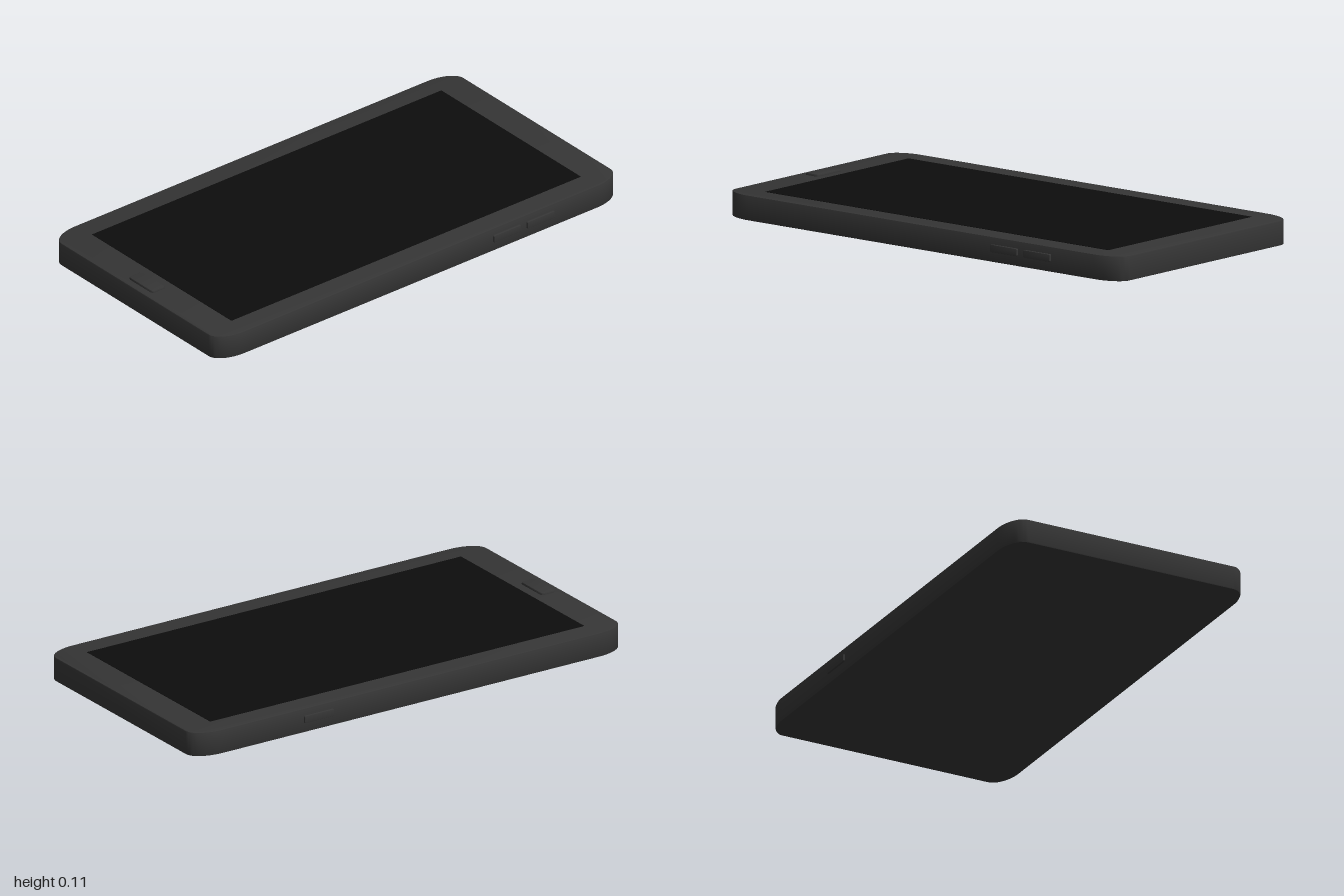
import * as THREE from 'three';
import { toCreasedNormals } from 'three/addons/utils/BufferGeometryUtils.js';

// Upright slab with elliptical corners (rx, rz) and a small bevelled rim
function slab(hx, hz, rx, rz, height, bevel) {
  const s = new THREE.Shape();
  s.moveTo(-hx + rx, -hz);
  s.lineTo(hx - rx, -hz);
  s.absellipse(hx - rx, -hz + rz, rx, rz, -Math.PI / 2, 0, false, 0);
  s.absellipse(hx - rx, hz - rz, rx, rz, 0, Math.PI / 2, false, 0);
  s.absellipse(-hx + rx, hz - rz, rx, rz, Math.PI / 2, Math.PI, false, 0);
  s.absellipse(-hx + rx, -hz + rz, rx, rz, Math.PI, Math.PI * 1.5, false, 0);
  const geo = new THREE.ExtrudeGeometry(s, {
    depth: height - 2 * bevel, curveSegments: 8,
    bevelEnabled: true, bevelThickness: bevel, bevelSize: bevel,
    bevelOffset: -bevel, bevelSegments: 2,
  });
  geo.translate(0, 0, bevel);
  geo.rotateX(-Math.PI / 2);
  return toCreasedNormals(geo, 0.5);
}

export function createModel() {
  const group = new THREE.Group();
  const casing = new THREE.MeshStandardMaterial({ color: 0x353535 });
  casing.name = 'charcoal casing';
  const glass = new THREE.MeshStandardMaterial({ color: 0x0d0d0d });
  glass.name = 'black glass';

  const add = (name, geo, mat, x, y, z) => {
    const mesh = new THREE.Mesh(geo, mat);
    mesh.name = name;
    mesh.position.set(x, y, z);
    group.add(mesh);
    return mesh;
  };

  // Casing
  add('body', slab(0.518, 1, 0.07, 0.125, 0.099, 0.005), casing, 0, 0, 0);

  // Display plate
  add('screen', new THREE.BoxGeometry(0.848, 0.004, 1.736), glass, 0, 0.0985, -0.002);

  // Home button below the display
  add('homeButton', slab(0.073, 0.033, 0.012, 0.012, 0.018, 0.005), casing, -0.003, 0.09, 0.937);

  // Side keys: two on the model's left edge, one on its right edge
  const keys = [
    ['volumeUpKey', 1, -0.592],
    ['volumeDownKey', 1, -0.425],
    ['powerKey', -1, -0.43],
  ];
  for (const [name, side, z] of keys) {
    const key = add(name, slab(0.015, 0.068, 0.005, 0.005, 0.02, 0.003), casing, side * 0.506, 0.055, z);
    key.rotation.z = -side * Math.PI / 2;
  }
  return group;
}
